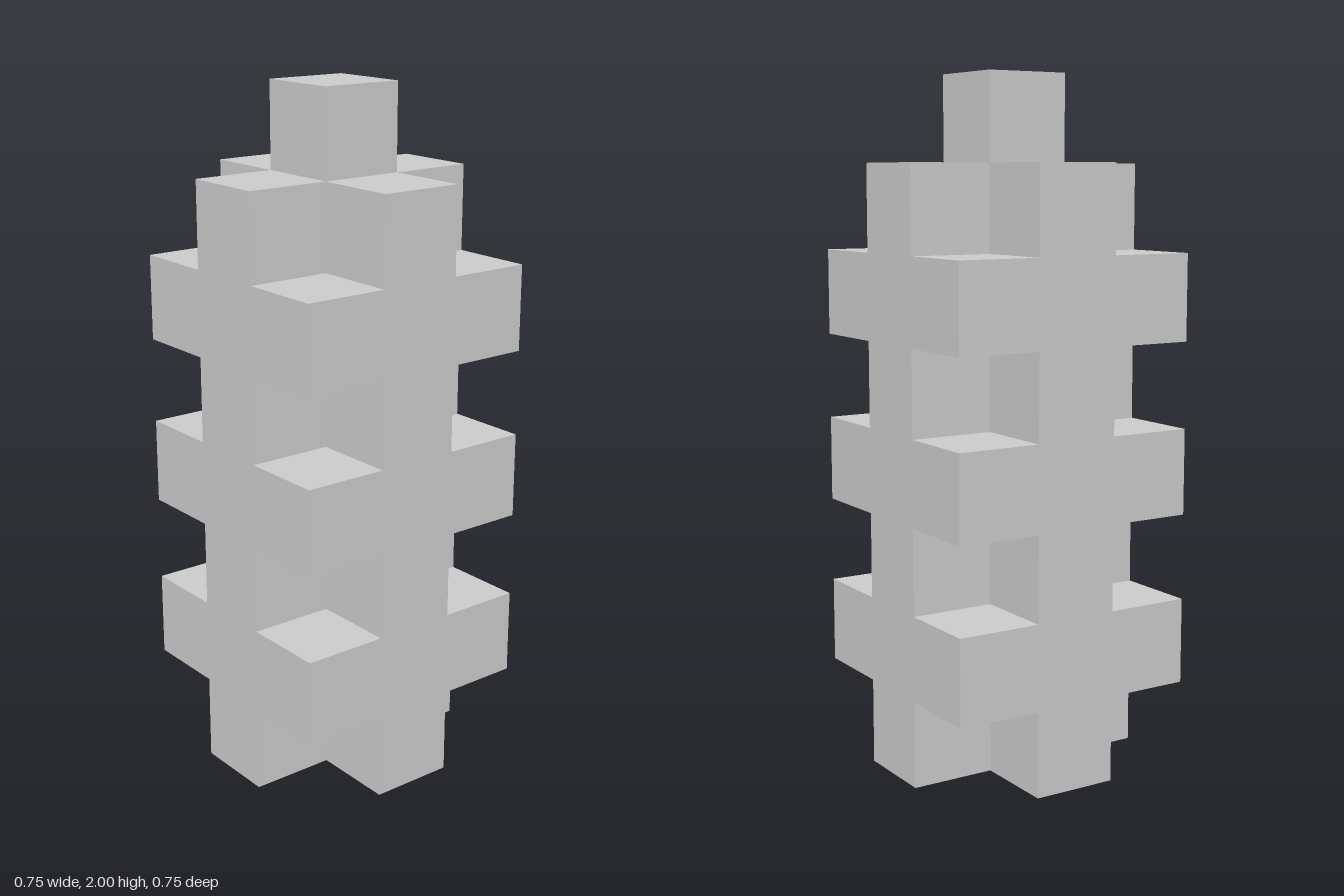
import * as THREE from 'three';

const U = 0.25; // edge of one cube unit

export function createModel() {
  const model = new THREE.Group();
  const material = new THREE.MeshStandardMaterial({ color: 0xcccccc, flatShading: true });

  const add = (parent, name, geometry, x, y, z) => {
    const mesh = new THREE.Mesh(geometry, material);
    mesh.name = name;
    mesh.position.set(x, y, z);
    parent.add(mesh);
  };

  // Column with a plus-shaped section, seven units tall
  const a = U / 2, b = U * 1.5;
  const plus = new THREE.Shape([
    [a, -b], [a, -a], [b, -a], [b, a], [a, a], [a, b],
    [-a, b], [-a, a], [-b, a], [-b, -a], [-a, -a], [-a, -b],
  ].map(([x, y]) => new THREE.Vector2(x, y)));
  const column = new THREE.ExtrudeGeometry(plus, { depth: 7 * U, bevelEnabled: false });
  column.rotateX(-Math.PI / 2);
  add(model, 'crossColumn', column, 0, 0, 0);

  // Corner cubes fill out every second layer to a full square
  const cube = new THREE.BoxGeometry(U, U, U);
  for (const layer of [1, 3, 5]) {
    const ring = new THREE.Group();
    ring.name = 'cornerCubes';
    ring.position.y = (layer + 0.5) * U;
    for (const x of [-U, U]) {
      for (const z of [-U, U]) add(ring, 'cornerCube', cube, x, 0, z);
    }
    model.add(ring);
  }

  // Single cube on top
  add(model, 'topCube', cube, 0, 7.5 * U, 0);

  return model;
}
